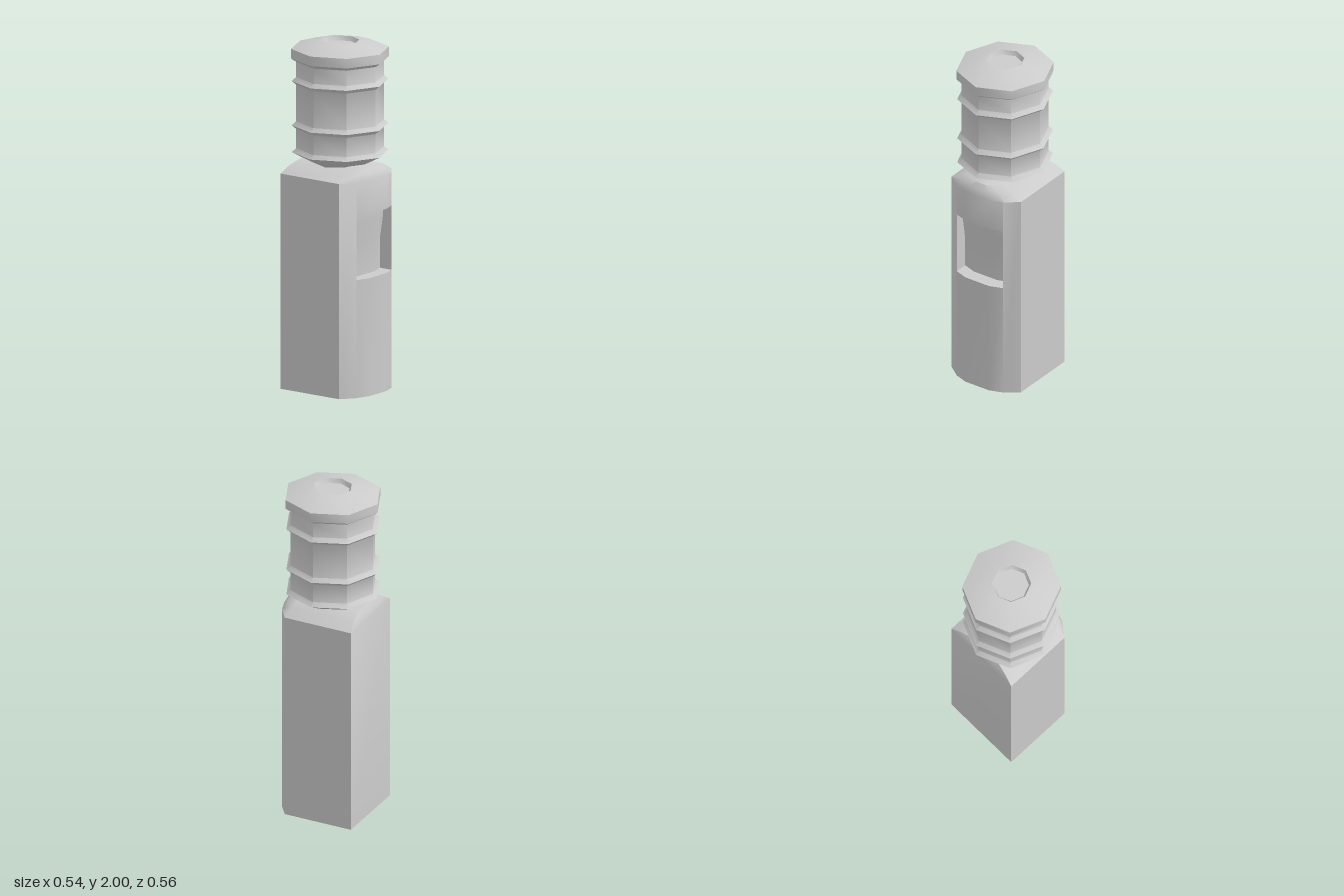
import * as THREE from 'three';
import { toCreasedNormals, mergeGeometries } from 'three/addons/utils/BufferGeometryUtils.js';

const CREASE = 0.85;
const material = new THREE.MeshStandardMaterial({ color: 0xcccccc, side: THREE.DoubleSide });

// Skin between rows of points; rows run bottom to top, points left to right as seen from outside.
function loft(rows) {
  const pos = [];
  for (let r = 0; r < rows.length - 1; r++) {
    for (let i = 0; i < rows[r].length - 1; i++) {
      const a = rows[r][i], b = rows[r][i + 1], c = rows[r + 1][i + 1], d = rows[r + 1][i];
      pos.push(...a, ...b, ...c, ...a, ...c, ...d);
    }
  }
  const g = new THREE.BufferGeometry();
  g.setAttribute('position', new THREE.Float32BufferAttribute(pos, 3));
  return g;
}

function part(name, geometries) {
  const mesh = new THREE.Mesh(toCreasedNormals(mergeGeometries(geometries), CREASE), material);
  mesh.name = name;
  return mesh;
}

// Plan of the cabinet: bowed front from the right to the left, then the back corners.
const front = [[-0.24, 0.18], [-0.16, 0.24], [-0.08, 0.267], [0.08, 0.267], [0.16, 0.24], [0.24, 0.18]];
const back = [[0.24, -0.237], [-0.24, -0.237]];
const RIM = 1.24, SILL = 0.68, LINTEL = 1.05;

const row = (points, y, inset = 0) => points.map(([x, z]) => [x, y, z - inset]);
const wall = (points, y0, y1) => loft([row(points, y0), row(points, y1)]);

function createCabinet() {
  const middle = front.slice(1, 5);
  const outline = [...front, ...back, front[0]];

  // Low domed top: rings narrow quickly in x and only a little in z.
  const rings = [[1, 1, RIM], [0.76, 0.94, 1.277], [0.4, 0.87, 1.306], [0, 0, 1.31]];
  const dome = rings.map(([sx, sz, y]) => outline.map(([x, z]) => [x * sx, y, z * sz]));

  return part('cabinet', [
    wall([front[4], front[5], ...back, front[0], front[1]], 0, RIM),
    wall(middle, 0, SILL),
    wall(middle, LINTEL, RIM),
    loft(dome),
  ]);
}

function createAlcove() {
  const middle = front.slice(1, 5);
  // Height and depth, from the sill up the back panels to the lintel.
  const profile = [[SILL, 0], [SILL, 0.08], [0.86, 0.08], [0.98, 0.06], [LINTEL, 0.06], [LINTEL, 0]];
  const jamb = ([x, z], flip) => loft(profile.slice(1, 5).map(([y, d]) =>
    flip ? [[x, y, z - d], [x, y, z]] : [[x, y, z], [x, y, z - d]]));
  return part('dispenserAlcove', [
    loft(profile.map(([y, d]) => row(middle, y, d))),
    jamb(middle[0], false),
    jamb(middle[3], true),
  ]);
}

function createBottle() {
  const R = 0.243;
  const points = [[0, 1.285], [0.13, 1.287], [0.268, 1.36], [R, 1.382]];
  // Ribs around the body
  for (const y of [1.515, 1.77]) points.push([R, y - 0.022], [0.268, y], [R, y + 0.022]);
  // Base rim and the dished centre on top
  points.push([R, 1.88], [0.272, 1.9], [0.272, 1.955], [0.165, 1.99], [0.108, 2],
    [0.095, 1.975], [0, 1.975]);
  const body = new THREE.LatheGeometry(points.map(([x, y]) => new THREE.Vector2(x, y)), 8);
  body.scale(1, 1, 1.035);
  return part('bottle', [body]);
}

export function createModel() {
  const model = new THREE.Group();
  model.name = 'waterCooler';
  model.add(createCabinet(), createAlcove(), createBottle());
  return model;
}
